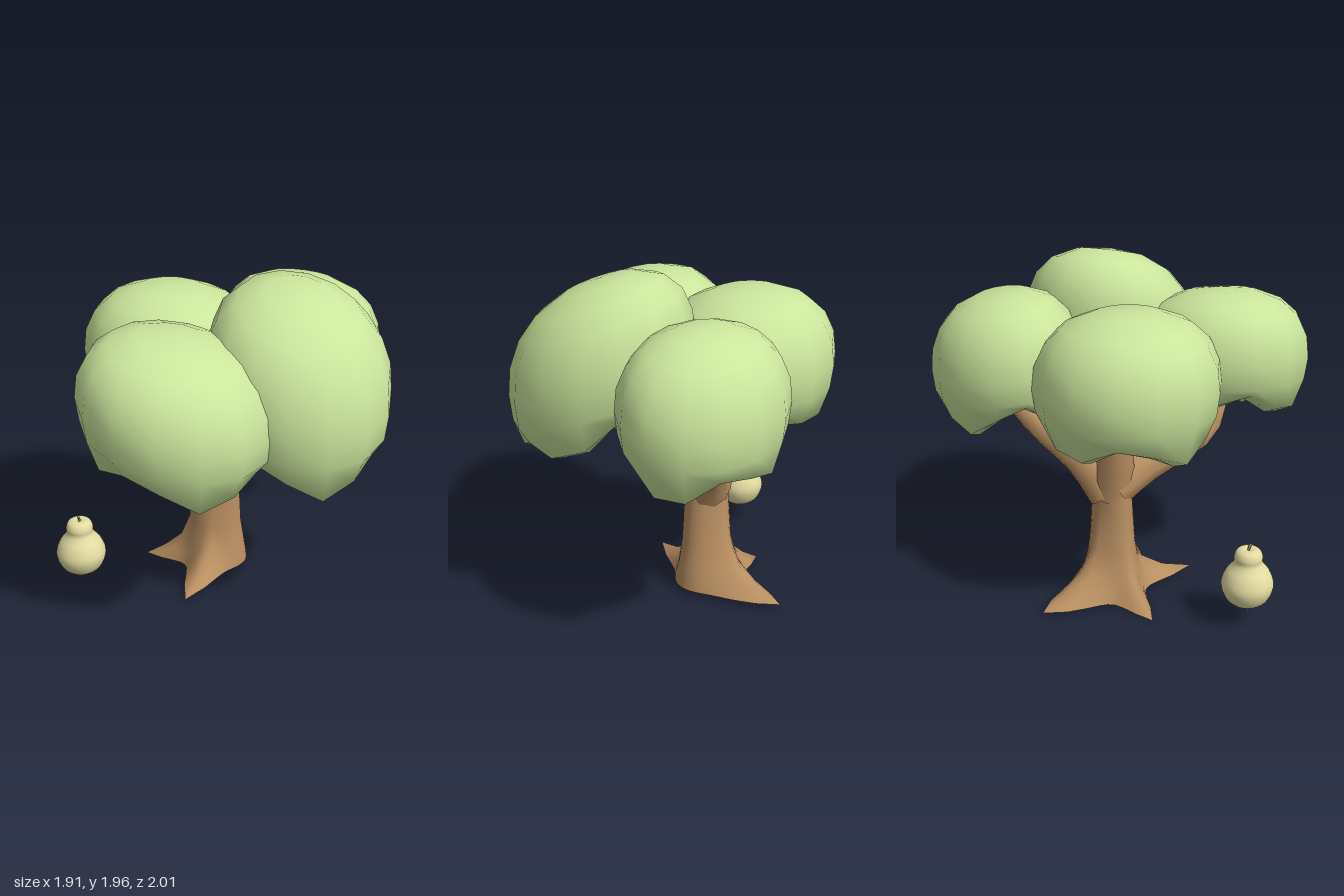
import * as THREE from 'three';
import { mergeVertices } from 'three/addons/utils/BufferGeometryUtils.js';

const leaf = new THREE.MeshStandardMaterial({ color: 0xcae59c });
const bark = new THREE.MeshStandardMaterial({ color: 0xb98f62, side: THREE.DoubleSide });
const fruit = new THREE.MeshStandardMaterial({ color: 0xe4dca2 });
const stalk = new THREE.MeshStandardMaterial({ color: 0x8f7f55 });

// Move every vertex by a rule, then weld seams for smooth shading
function reshape(geometry, rule) {
  const pos = geometry.attributes.position;
  const v = new THREE.Vector3();
  for (let i = 0; i < pos.count; i++) {
    rule(v.fromBufferAttribute(pos, i), i);
    pos.setXYZ(i, v.x, v.y, v.z);
  }
  geometry.deleteAttribute('uv');
  geometry.deleteAttribute('normal');
  const welded = mergeVertices(geometry, 1e-4);
  welded.computeVertexNormals();
  return welded;
}

function add(parent, name, geometry, material) {
  const mesh = new THREE.Mesh(geometry, material);
  mesh.name = name;
  parent.add(mesh);
}

// Leaf clump: a full dome tucked in below, with a ragged rim and a hollow underside
const clumpProfile = [
  [0, 0.27], [0.42, 0.2], [0.68, 0.02], [0.87, 0.07], [0.98, 0.24], [1.01, 0.42], [0.98, 0.6],
  [0.87, 0.765], [0.68, 0.89], [0.38, 0.975], [0, 1],
].map(([r, y]) => new THREE.Vector2(r, y));

// lean tilts the clump, droop is the angle at which its rim hangs lowest
function clumpGeometry({ center: [cx, cz], radius: [rx, rz], bottom, top, lean: [lx, lz], droop }) {
  return reshape(new THREE.LatheGeometry(clumpProfile, 14), (v) => {
    const angle = Math.atan2(v.z, v.x) - droop;
    const low = v.y < 0.23 ? Math.hypot(v.x, v.z) * (0.23 - v.y) / 0.23 : 0;
    const y = bottom + (top - bottom) * v.y + lx * v.x + lz * v.z
      - low * (0.05 * Math.cos(angle) + 0.1 * Math.cos(4 * angle));
    v.set(cx + rx * v.x, y, cz + rz * v.z);
  });
}

// Trunk rings: height, half width in x and z, share of the root length
const rings = [
  [0.04, 0.195, 0.17, 1], [0.09, 0.19, 0.165, 0.64], [0.18, 0.178, 0.14, 0.3],
  [0.32, 0.158, 0.125, 0.08], [0.6, 0.145, 0.108, 0], [0.8, 0.158, 0.122, 0],
  [0.91, 0.09, 0.08, 0], [0.93, 0, 0, 0],
];
// Roots: direction, extra reach, spread, steepness of the upper edge
const roots = [
  { angle: -100, reach: 0.36, spread: 0.4, power: 1 },
  { angle: 180, reach: 0.25, spread: 0.3, power: 1.5 },
  { angle: 100, reach: 0.34, spread: 0.28, power: 1.7 },
];

function trunkGeometry() {
  const last = rings.length - 1;
  return reshape(new THREE.CylinderGeometry(1, 1, last, 36, last, true), (v) => {
    const [y, rx, rz, share] = rings[Math.round(v.y + last / 2)];
    let reach = 0;
    for (const root of roots) {
      const a = Math.atan2(v.z, v.x) - THREE.MathUtils.degToRad(root.angle);
      const d = Math.abs(Math.atan2(Math.sin(a), Math.cos(a)));
      reach += share ** root.power * root.reach * Math.exp(-((d / root.spread) ** 1.2));
    }
    if (share === 0) reach = 0;
    const x = -0.07 + v.x * (rx + reach);
    const sag = share === 1 ? 0.09 * Math.min(0, x + 0.15) : 0;
    v.set(x, y + sag, -0.17 + v.z * (rz + reach));
  });
}

// Tapered branch along a curve; the last ring closes the end
function branchGeometry(points, r0, r1) {
  const path = new THREE.CatmullRomCurve3(points.map((p) => new THREE.Vector3(...p)));
  const segs = 8, sides = 10;
  return reshape(new THREE.TubeGeometry(path, segs, 1, sides), (v, i) => {
    const ring = Math.floor(i / (sides + 1));
    const t = Math.min(ring / (segs - 1), 1);
    const radius = ring === segs ? 0 : r0 + (r1 - r0) * Math.pow(t, 0.9);
    v.sub(path.getPointAt(ring / segs)).multiplyScalar(radius).add(path.getPointAt(t));
  });
}

export function createModel() {
  const model = new THREE.Group();
  model.name = 'treeWithPear';

  // Foliage
  const foliage = new THREE.Group();
  foliage.name = 'foliage';
  model.add(foliage);
  const clumps = {
    rightClump: { center: [-0.325, -0.22], radius: [0.515, 0.5], bottom: 1.1, top: 1.81, lean: [-0.025, 0], droop: 2.9 },
    frontClump: { center: [-0.155, 0.5], radius: [0.525, 0.5], bottom: 1.09, top: 1.79, lean: [-0.085, -0.03], droop: 1.08 },
    leftClump: { center: [0.445, 0.135], radius: [0.51, 0.505], bottom: 1.09, top: 1.93, lean: [-0.1, -0.13], droop: 1.1 },
    backClump: { center: [0.375, -0.6], radius: [0.485, 0.4], bottom: 1.11, top: 1.8, lean: [-0.04, 0.05], droop: -0.45 },
  };
  for (const [name, spec] of Object.entries(clumps)) add(foliage, name, clumpGeometry(spec), leaf);

  // Trunk with roots, and its branches
  const wood = new THREE.Group();
  wood.name = 'wood';
  model.add(wood);
  add(wood, 'trunk', trunkGeometry(), bark);
  add(wood, 'frontBranch', branchGeometry(
    [[-0.09, 0.7, -0.18], [-0.12, 0.79, 0], [-0.17, 0.87, 0.2], [-0.19, 0.96, 0.42], [-0.2, 1.12, 0.48]], 0.145, 0.05), bark);
  add(wood, 'leftBranch', branchGeometry(
    [[-0.06, 0.7, -0.17], [0.08, 0.85, -0.13], [0.27, 1.0, 0], [0.45, 1.18, 0.11]], 0.12, 0.035), bark);
  add(wood, 'backBranch', branchGeometry(
    [[-0.06, 0.66, -0.18], [0.04, 0.84, -0.29], [0.22, 1.02, -0.47], [0.38, 1.26, -0.64]], 0.14, 0.05), bark);
  add(wood, 'rightBranch', branchGeometry(
    [[-0.09, 0.66, -0.17], [-0.15, 0.9, -0.19], [-0.18, 1.08, -0.2], [-0.21, 1.3, -0.22]], 0.13, 0.065), bark);

  // Pear
  const pear = new THREE.Group();
  pear.name = 'pear';
  pear.position.set(-0.81, 0, 0.27);
  model.add(pear);
  const outline = new THREE.SplineCurve([
    [0, 0.135], [0.06, 0.142], [0.118, 0.184], [0.148, 0.265], [0.128, 0.338], [0.092, 0.388],
    [0.079, 0.415], [0.08, 0.445], [0.066, 0.478], [0.035, 0.49], [0, 0.48],
  ].map(([r, y]) => new THREE.Vector2(r, y))).getPoints(36);
  outline.forEach((p) => { p.x = Math.max(p.x, 0); });
  add(pear, 'pearBody', new THREE.LatheGeometry(outline, 32), fruit);
  add(pear, 'pearStem', branchGeometry(
    [[0, 0.47, 0], [0, 0.495, 0.001], [0, 0.508, 0.008], [0, 0.515, 0.016]], 0.007, 0.008), stalk);

  return model;
}
